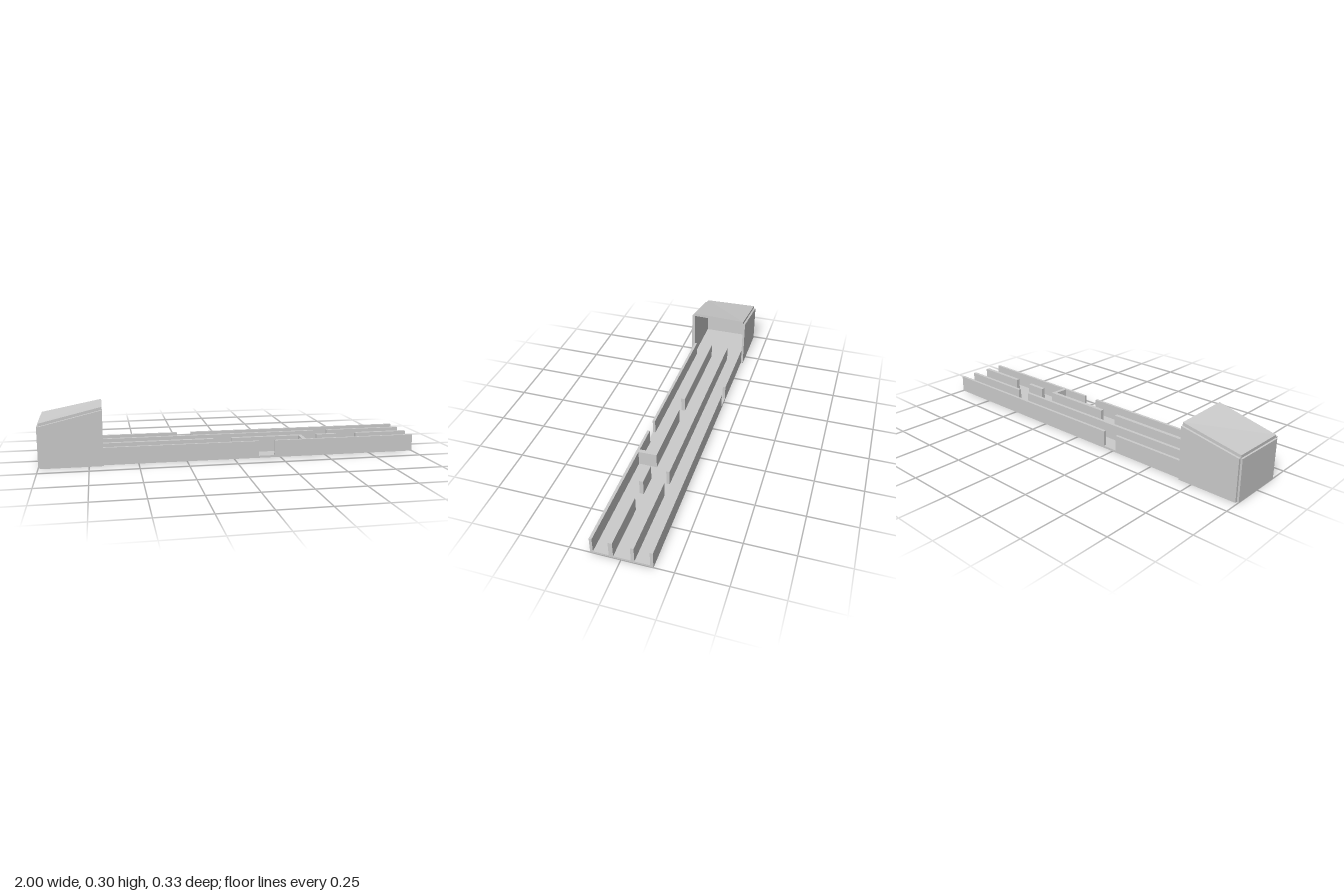
import * as THREE from 'three';

const ZF = 0.148, ZB = -0.153;      // front and back faces of the tray
const FLOOR = 0.011, WALL = 0.093;  // floor thickness and wall height
const HEAD = -0.677;                // open end of the hood

const material = new THREE.MeshStandardMaterial({ color: 0xcccccc, flatShading: true });

export function createModel() {
  const model = new THREE.Group();

  // Box between two x and z limits; bottom and top heights may differ per corner.
  // Corner heights are ordered [x0 back, x0 front, x1 back, x1 front].
  function slab(name, x0, x1, z0, z1, bottom, top) {
    const geometry = new THREE.BoxGeometry(1, 1, 1);
    const p = geometry.attributes.position;
    for (let i = 0; i < p.count; i++) {
      const right = p.getX(i) > 0, front = p.getZ(i) > 0;
      const heights = p.getY(i) > 0 ? top : bottom;
      const y = Array.isArray(heights) ? heights[(right ? 2 : 0) + (front ? 1 : 0)] : heights;
      p.setXYZ(i, right ? x1 : x0, y, front ? z1 : z0);
    }
    geometry.computeVertexNormals();
    const mesh = new THREE.Mesh(geometry, material);
    mesh.name = name;
    model.add(mesh);
  }

  slab('floor', -1, 1, ZB, ZF, 0, FLOOR);

  // Long lane walls, broken by doorways
  const walls = [
    ['backWall', ZB, -0.138, [[HEAD, -0.27], [-0.19, 1]]],
    ['backLaneWall', -0.064, -0.047, [[HEAD, 0.493], [0.572, 1]]],
    ['frontLaneWall', 0.037, 0.058, [[HEAD, -0.096], [0.003, 0.395], [0.48, 0.595], [0.706, 1]]],
    ['frontWall', 0.134, ZF, [[HEAD, 0.134], [0.22, 1]]],
  ];
  for (const [name, z0, z1, runs] of walls) {
    const top = name === 'frontWall' ? 0.091 : WALL;
    for (const [x0, x1] of runs) slab(name, x0, x1, z0, z1, FLOOR, top);
  }

  // Cross wall closing the front lane
  slab('crossWall', 0.374, 0.395, 0.058, 0.134, FLOOR, [0.093, 0.091, 0.093, 0.091]);

  // Hood at the end: two side plates, an end plate and a slightly twisted sloping roof
  slab('hoodFrontSide', -0.99, HEAD, ZF, 0.166, 0, [0.213, 0.213, 0.287, 0.287]);
  slab('hoodBackSide', -0.99, HEAD, -0.165, ZB, 0, [0.219, 0.219, 0.278, 0.278]);
  slab('hoodEnd', -1, -0.988, ZB, ZF, 0, [0.217, 0.21, 0.219, 0.213]);
  const under = [0.217, 0.211, 0.278, 0.286];
  slab('hoodRoof', -0.992, HEAD, ZB, ZF, under, under.map((y) => y + 0.016));

  return model;
}
